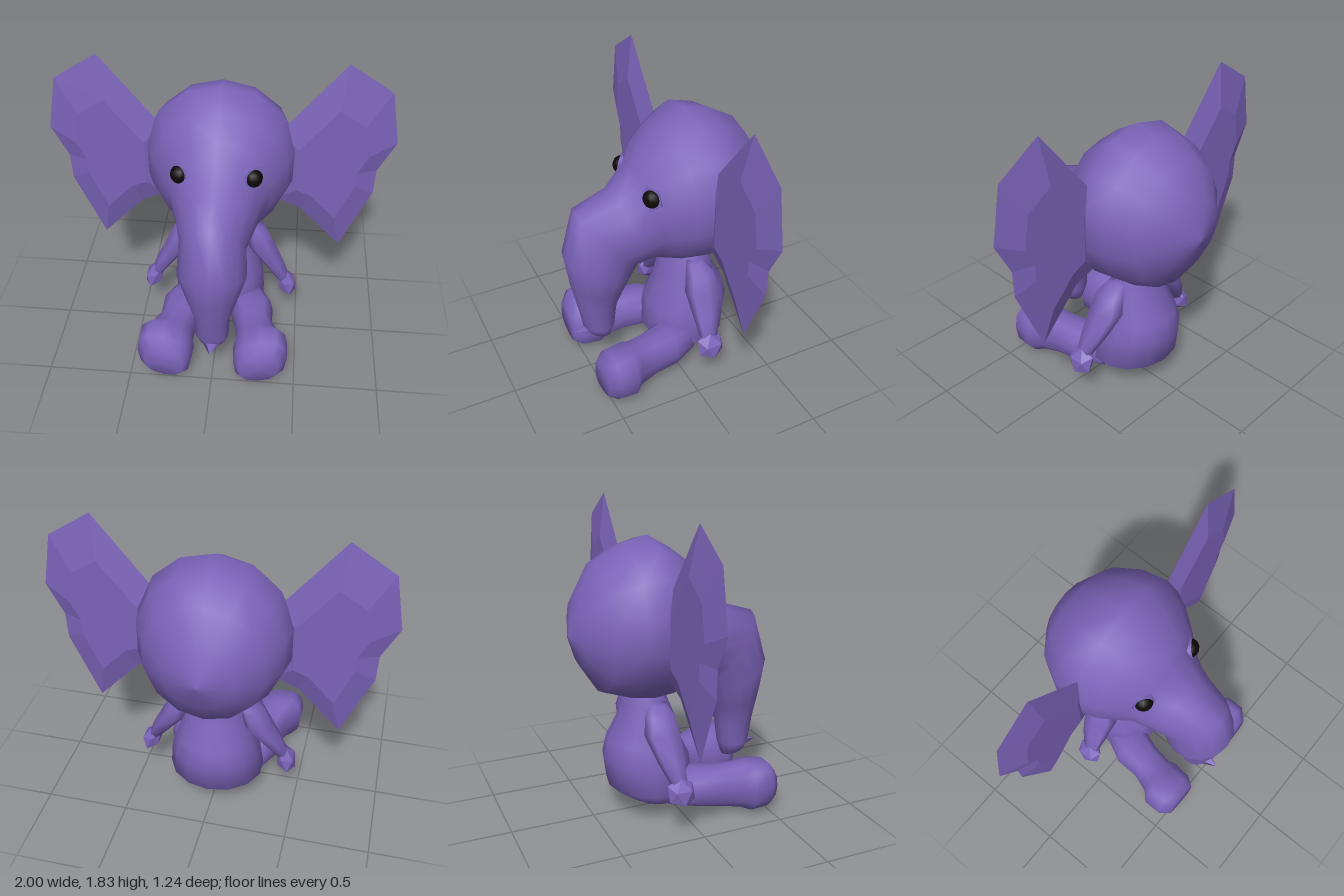
import * as THREE from 'three';

const purple = new THREE.MeshStandardMaterial({ color: 0x7a63b8 });
const black = new THREE.MeshStandardMaterial({ color: 0x0c0a08 });

// Skin through rings of points, closed at both ends by a fan
function skin(rings) {
  const n = rings[0].length, pos = [], idx = [];
  rings.forEach(r => r.forEach(p => pos.push(p.x, p.y, p.z)));
  for (let i = 0; i < rings.length - 1; i++) {
    for (let j = 0; j < n; j++) {
      const a = i * n + j, b = i * n + (j + 1) % n;
      idx.push(a, b, b + n, a, b + n, a + n);
    }
  }
  [0, rings.length - 1].forEach(i => {
    const c = new THREE.Vector3();
    rings[i].forEach(p => c.addScaledVector(p, 1 / n));
    const k = pos.length / 3;
    pos.push(c.x, c.y, c.z);
    for (let j = 0; j < n; j++) {
      const a = i * n + j, b = i * n + (j + 1) % n;
      if (i === 0) idx.push(k, b, a); else idx.push(k, a, b);
    }
  });
  // Turn the faces outward if the enclosed volume is negative
  const v = k => new THREE.Vector3().fromArray(pos, k * 3);
  let volume = 0;
  for (let i = 0; i < idx.length; i += 3) {
    volume += v(idx[i]).dot(v(idx[i + 1]).cross(v(idx[i + 2])));
  }
  if (volume < 0) idx.reverse();
  const g = new THREE.BufferGeometry();
  g.setAttribute('position', new THREE.Float32BufferAttribute(pos, 3));
  g.setIndex(idx);
  g.computeVertexNormals();
  return g;
}

// Oval ring: centre plus two half-axes; a power below 1 makes it squarer
function oval(c, u, w, sides, power = 1) {
  const bend = t => Math.sign(t) * Math.pow(Math.abs(t), power);
  return Array.from({ length: sides }, (_, i) => {
    const t = i / sides * Math.PI * 2;
    return c.clone().addScaledVector(u, bend(Math.cos(t))).addScaledVector(w, bend(Math.sin(t)));
  });
}
const V = (x, y, z) => new THREE.Vector3(x, y, z);

// Ring spanning a top and a bottom point on the centre plane
function slice([yT, zT, yB, zB, w], sides) {
  const c = V(0, (yT + yB) / 2, (zT + zB) / 2);
  return oval(c, V(0, yT, zT).sub(c), V(w, 0, 0), sides);
}

function add(parent, name, geometry, material = purple) {
  const m = new THREE.Mesh(geometry, material);
  m.name = name;
  parent.add(m);
  return m;
}

function makeEar() {
  const outline = [[0.33, 1.4], [0.37, 1.44], [0.69, 1.84], [0.94, 1.68], [1.0, 1.36], [0.905, 1.17],
    [0.9, 1.01], [0.73, 0.605], [0.48, 0.87], [0.33, 0.93]];
  const ring = (s, z) => outline.map(([x, y]) => V(0.62 + (x - 0.62) * s, 1.18 + (y - 1.18) * s, z));
  const g = skin([ring(0.6, -0.1), ring(1, -0.145), ring(0.6, -0.19)]).toNonIndexed();
  g.computeVertexNormals();
  return g;
}

function makeArm() {
  // y, centre x, centre z, half-width, half-depth
  const rings = [[0.73, 0.16, -0.14, 0.05, 0.05], [0.68, 0.215, -0.15, 0.075, 0.09], [0.58, 0.25, -0.15, 0.085, 0.11],
    [0.45, 0.335, -0.135, 0.065, 0.085], [0.32, 0.41, -0.115, 0.04, 0.05]];
  return skin(rings.map(([y, x, z, rx, rz]) => oval(V(x, y, z), V(rx, 0, 0), V(0, 0, rz), 7)));
}

function makeLeg() {
  // z, centre x, centre y, half-width, half-height, inward slope of the top
  const rings = [[-0.1, 0.17, 0.19, 0.1, 0.09, 0], [0.06, 0.21, 0.195, 0.14, 0.115, 0],
    [0.2, 0.235, 0.18, 0.115, 0.125, 0], [0.32, 0.265, 0.175, 0.13, 0.145, 0.02],
    [0.37, 0.285, 0.175, 0.165, 0.165, 0.03], [0.48, 0.29, 0.175, 0.16, 0.155, 0.03],
    [0.535, 0.285, 0.16, 0.115, 0.1, 0.02]];
  return skin(rings.map(([z, x, y, rx, ry, slope]) =>
    oval(V(x, y, z), V(rx, slope, 0), V(0, ry, 0), 12, 0.75)));
}

export function createModel() {
  const model = new THREE.Group();
  model.name = 'elephant';

  // Head running over the brow into the hanging trunk
  const head = [
    [1.16, -0.615, 1.13, -0.615, 0.015], [1.365, -0.565, 0.965, -0.555, 0.2],
    [1.55, -0.45, 0.8, -0.45, 0.34], [1.64, -0.29, 0.755, -0.31, 0.425],
    [1.68, -0.137, 0.737, -0.175, 0.455], [1.6, 0, 0.745, -0.05, 0.4],
    [1.49, 0.14, 0.765, 0.04, 0.315], [1.39, 0.185, 0.775, 0.08, 0.27],
    [1.25, 0.32, 0.77, 0.13, 0.23], [1.18, 0.54, 0.745, 0.18, 0.19],
    [0.89, 0.62, 0.69, 0.225, 0.2], [0.7, 0.595, 0.57, 0.28, 0.15],
    [0.5, 0.555, 0.48, 0.315, 0.105], [0.35, 0.53, 0.34, 0.335, 0.1],
    [0.31, 0.51, 0.26, 0.36, 0.075]];
  add(model, 'headAndTrunk', skin(head.map(r => slice(r, 14))));

  // Small pointed lip at the trunk end
  const lip = add(model, 'trunkTip', new THREE.ConeGeometry(0.05, 0.13, 5));
  lip.scale.set(1.4, 1, 0.55);
  lip.rotation.x = Math.PI / 2;
  lip.position.set(0, 0.325, 0.53);

  // Body: y, front z, back z, half-width
  const body = [[0.8, -0.06, -0.28, 0.12], [0.74, -0.04, -0.3, 0.16], [0.62, 0.01, -0.32, 0.19],
    [0.48, 0.045, -0.395, 0.235], [0.37, 0.1, -0.42, 0.27], [0.19, 0.12, -0.395, 0.29],
    [0.1, 0.06, -0.27, 0.2], [0.055, -0.06, -0.18, 0.08]];
  add(model, 'body', skin(body.map(([y, f, b, w]) => slice([y, f, y, b, w], 14))));

  // Paired parts, built on the left and mirrored to the right
  const geo = { Ear: makeEar(), Arm: makeArm(), Leg: makeLeg() };
  for (const [side, s] of [['left', 1], ['right', -1]]) {
    const half = new THREE.Group();
    half.name = side + 'Side';
    half.scale.x = s;
    for (const part in geo) add(half, side + part, geo[part]);

    const hand = add(half, side + 'Hand', new THREE.IcosahedronGeometry(1, 0));
    hand.scale.set(0.06, 0.09, 0.09);
    hand.position.set(0.43, 0.285, -0.115);
    hand.rotation.z = 0.4;

    // Eye set in a shallow five-sided socket
    const eye = new THREE.Group();
    eye.name = side + 'Eye';
    eye.position.set(0.195, 1.28, 0.145);
    eye.rotation.set(-0.2, 0.62, 0, 'YXZ');
    const rim = add(eye, side + 'EyeSocket', new THREE.CylinderGeometry(0.07, 0.088, 0.06, 5));
    rim.rotation.x = Math.PI / 2;
    add(eye, side + 'Eyeball', new THREE.SphereGeometry(0.055, 14, 10), black).position.z = 0.012;
    half.add(eye);
    model.add(half);
  }
  return model;
}
